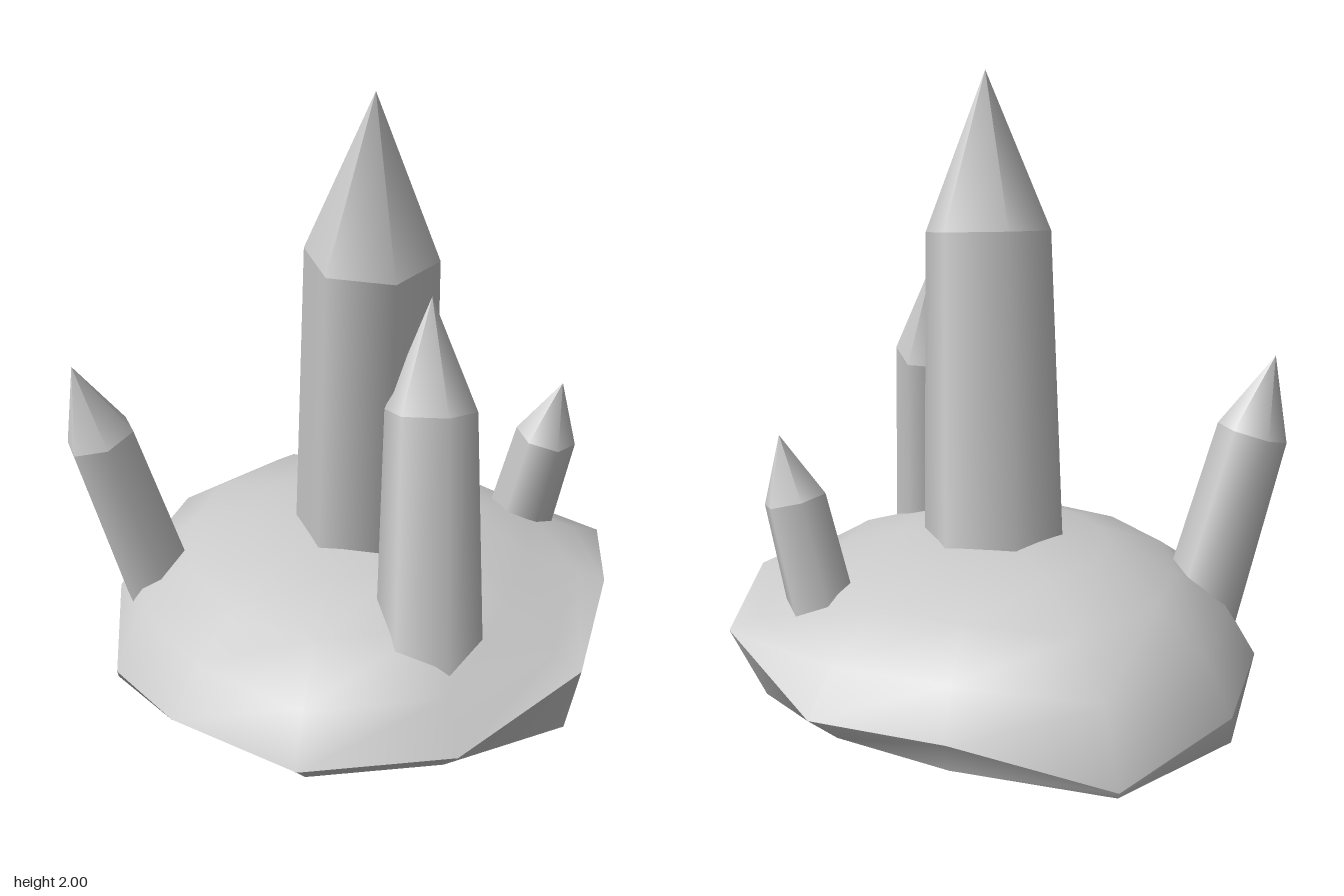
import * as THREE from 'three';

const material = new THREE.MeshStandardMaterial({ color: 0xcccccc });
const SIDES = 12;

// Rim of the rock every 30 degrees from +x towards +z: foot radius, widest radius, height of widest point
const RIM = [
  [0.88, 0.935, 0.23], [0.82, 0.93, 0.1], [0.85, 0.965, 0.1], [0.76, 0.89, 0.1],
  [0.85, 0.855, 0.02], [0.74, 0.86, 0.1], [0.94, 0.94, 0.08], [1.03, 1.04, 0.02],
  [0.82, 0.86, 0.1], [0.78, 0.9, 0.1], [0.82, 0.935, 0.24], [0.74, 0.855, 0.3],
];

// Ring of points from a rule giving [radius, height] for each rim entry
function ring(rule) {
  return RIM.map((entry, i) => {
    const a = (i / SIDES) * Math.PI * 2;
    const [r, y] = rule(entry);
    return new THREE.Vector3(r * Math.cos(a), y, r * Math.sin(a));
  });
}

// Smooth skin through rings listed from bottom to top, optionally closed by a centre point
function loft(rings, centre, flip = false) {
  const points = rings.flat();
  const index = [];
  const tri = (a, b, c) => (flip ? index.push(a, c, b) : index.push(a, b, c));
  for (let j = 0; j < rings.length; j++) {
    for (let i = 0; i < SIDES; i++) {
      const a = j * SIDES + i;
      const b = j * SIDES + ((i + 1) % SIDES);
      if (j < rings.length - 1) {
        tri(a, a + SIDES, b);
        tri(b, a + SIDES, b + SIDES);
      } else if (centre) {
        tri(a, rings.length * SIDES, b);
      }
    }
  }
  if (centre) points.push(centre);
  const geometry = new THREE.BufferGeometry().setFromPoints(points);
  geometry.setIndex(index);
  geometry.computeVertexNormals();
  return geometry;
}

function addMesh(parent, name, geometry) {
  const mesh = new THREE.Mesh(geometry, material);
  mesh.name = name;
  parent.add(mesh);
  return mesh;
}

function createRock() {
  const rock = new THREE.Group();
  rock.name = 'rockBase';
  const foot = ring(([f]) => [f, 0]);
  const widest = ring(([, r, y]) => [r, y]);
  const shoulder = ring(([, r, y]) => [r * 0.89, Math.max(0.25, y + 0.03)]);
  const upper = ring(([, r]) => [r * 0.69, 0.37]);
  const crown = ring(([, r]) => [r * 0.42, 0.45]);
  addMesh(rock, 'rockDome', loft([widest, shoulder, upper, crown], new THREE.Vector3(0, 0.485, 0)));
  addMesh(rock, 'rockSkirt', loft([foot, widest]));
  addMesh(rock, 'rockUnderside', loft([foot], new THREE.Vector3(0, 0, 0), true));
  return rock;
}

// Six-sided crystal: tapered shaft from the rock to the shoulder, then a point
function createCrystal({ name, base, shoulder, tip, baseRadius, radius, root }) {
  const crystal = new THREE.Group();
  crystal.name = name;
  const top = new THREE.Vector3(...shoulder);
  const direction = top.clone().sub(new THREE.Vector3(...base));
  const visible = direction.length();
  direction.normalize();
  const length = visible + root; // the root is buried in the rock
  const point = top.distanceTo(new THREE.Vector3(...tip));

  const shaft = new THREE.CylinderGeometry(radius, baseRadius, length, 6, 1, true);
  shaft.translate(0, -length / 2, 0);
  addMesh(crystal, 'crystalShaft', shaft);

  const cone = new THREE.ConeGeometry(radius, point, 6, 1, true);
  cone.translate(0, point / 2, 0);
  addMesh(crystal, 'crystalPoint', cone);

  crystal.position.copy(top);
  crystal.quaternion.setFromUnitVectors(new THREE.Vector3(0, 1, 0), direction);
  return crystal;
}

const CRYSTALS = [
  { name: 'mainCrystal', base: [0.05, 0.47, 0.01], shoulder: [0.155, 1.47, 0.105], tip: [0.21, 2, 0.145],
    baseRadius: 0.245, radius: 0.215, root: 0.25 },
  { name: 'leaningCrystal', base: [0.51, 0.4, 0.24], shoulder: [0.41, 1.02, 0.12], tip: [0.345, 1.36, 0.04],
    baseRadius: 0.175, radius: 0.147, root: 0.22 },
  { name: 'frontCrystal', base: [-0.525, 0.35, 0.49], shoulder: [-0.59, 0.8, 0.61], tip: [-0.62, 1.06, 0.69],
    baseRadius: 0.135, radius: 0.12, root: 0.24 },
  { name: 'backCrystal', base: [0.29, 0.36, -0.58], shoulder: [0.36, 0.66, -0.605], tip: [0.4, 0.87, -0.63],
    baseRadius: 0.118, radius: 0.106, root: 0.15 },
];

export function createModel() {
  const model = new THREE.Group();
  model.name = 'crystalCluster';
  model.add(createRock());
  CRYSTALS.forEach((c) => model.add(createCrystal(c)));
  return model;
}
